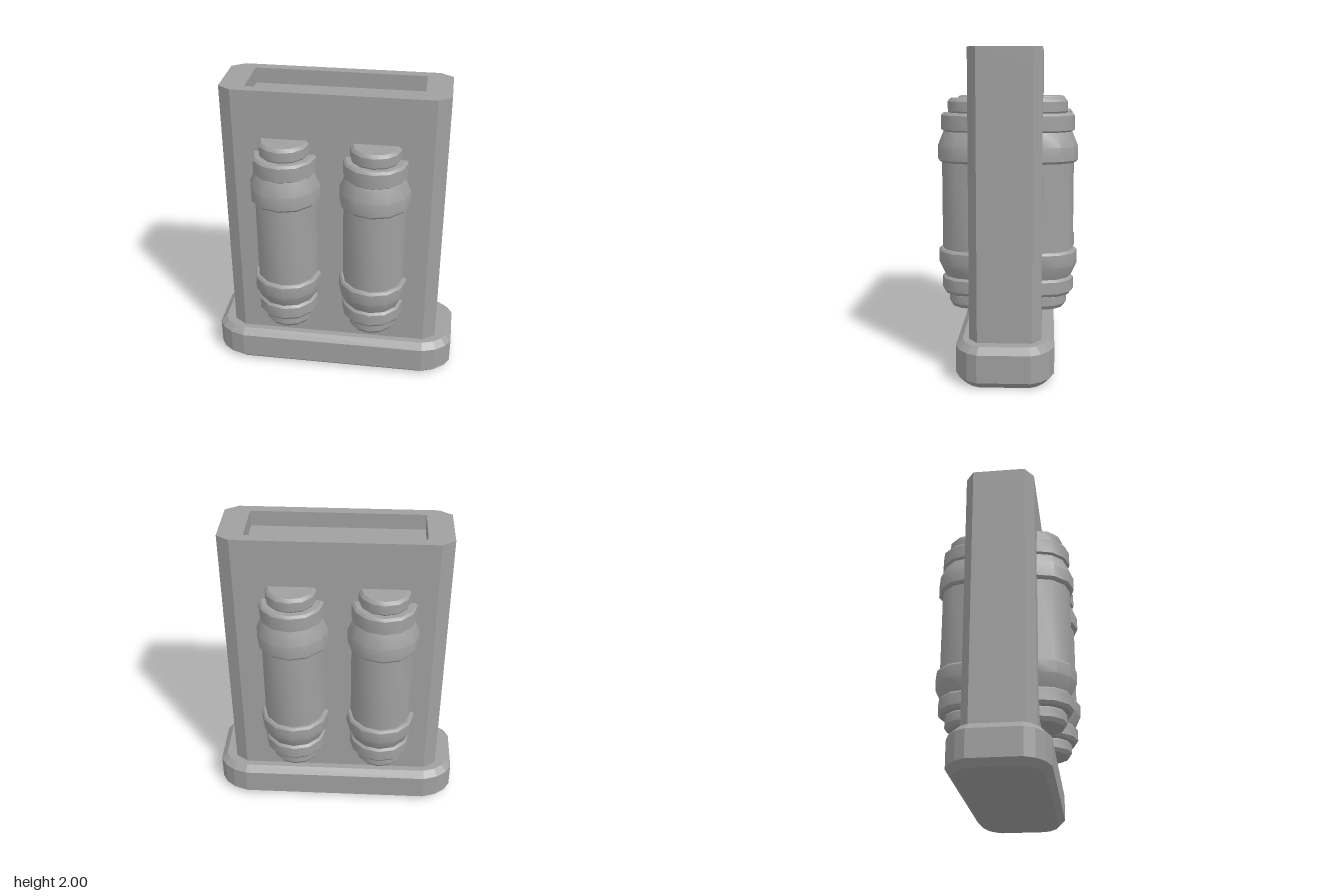
import * as THREE from 'three';
import { toCreasedNormals } from 'three/addons/utils/BufferGeometryUtils.js';

// Closed outline, mirrored from the points of one corner (+x side to +z side)
function mirroredShape(corner) {
  const back = [...corner].reverse();
  const pts = [
    ...corner,
    ...back.map(([x, z]) => [-x, z]),
    ...corner.map(([x, z]) => [-x, -z]),
    ...back.map(([x, z]) => [x, -z]),
  ];
  return new THREE.Shape(pts.map(([x, z]) => new THREE.Vector2(x, z)));
}

// Upright prism from y0 to y1 with an optional chamfer on both rims
function prism(shape, y0, y1, chamfer = 0) {
  const geometry = new THREE.ExtrudeGeometry(shape, {
    depth: y1 - y0 - 2 * chamfer,
    bevelEnabled: chamfer > 0,
    bevelSegments: 1,
    bevelThickness: chamfer,
    bevelSize: chamfer,
    bevelOffset: -chamfer,
  });
  geometry.rotateX(-Math.PI / 2);
  geometry.translate(0, y0 + chamfer, 0);
  return geometry;
}

export function createModel() {
  const model = new THREE.Group();
  model.name = 'canisterPanel';
  const grey = new THREE.MeshStandardMaterial({ color: 0xa0a0a0 });
  grey.name = 'grey';

  const add = (name, geometry, parent = model) => {
    const mesh = new THREE.Mesh(geometry, grey);
    mesh.name = name;
    parent.add(mesh);
    return mesh;
  };

  // Chamfered foot
  const foot = mirroredShape([[0.81, 0.16], [0.775, 0.22], [0.71, 0.27], [0.62, 0.3]]);
  add('foot', prism(foot, 0, 0.25, 0.04));

  // Slab with clipped corners
  const slabCorner = [[0.698, 0.165], [0.617, 0.22]];
  add('slab', prism(mirroredShape(slabCorner), 0.25, 1.9));

  // Rim around the shallow recess on top
  const rim = mirroredShape(slabCorner);
  rim.holes.push(mirroredShape([[0.54, 0.155]]));
  add('topRim', prism(rim, 1.9, 2));

  // Half canister profile as [radius, height], bottom to top
  const profile = [
    [0, 0.375], [0.14, 0.375], [0.157, 0.4], [0.157, 0.455], [0.15, 0.465], // lower cap
    [0.185, 0.465], [0.2, 0.485], [0.2, 0.56], [0.185, 0.575],              // lower band
    [0.222, 0.655], [0.222, 0.735], [0.21, 0.75], [0.197, 0.75],            // lower collar
    [0.197, 1.3], [0.21, 1.3], [0.222, 1.315], [0.222, 1.4],                // tube, upper collar
    [0.185, 1.49], [0.2, 1.5], [0.2, 1.59], [0.185, 1.605],                 // upper band
    [0.15, 1.605], [0.157, 1.615], [0.157, 1.675], [0.14, 1.695], [0, 1.695], // upper cap
  ].map(([r, y]) => new THREE.Vector2(r, y));
  const canister = toCreasedNormals(
    new THREE.LatheGeometry(profile, 6, -Math.PI / 2, Math.PI), 0.54);

  // Two canisters on each face of the slab
  for (const [face, side] of [['front', 1], ['back', -1]]) {
    for (const [place, x] of [['Right', -0.3], ['Left', 0.265]]) {
      const mesh = add(`${face}${place}Canister`, canister);
      mesh.position.set(x, 0, 0.219 * side);
      mesh.rotation.y = side > 0 ? 0 : Math.PI;
    }
  }
  return model;
}
